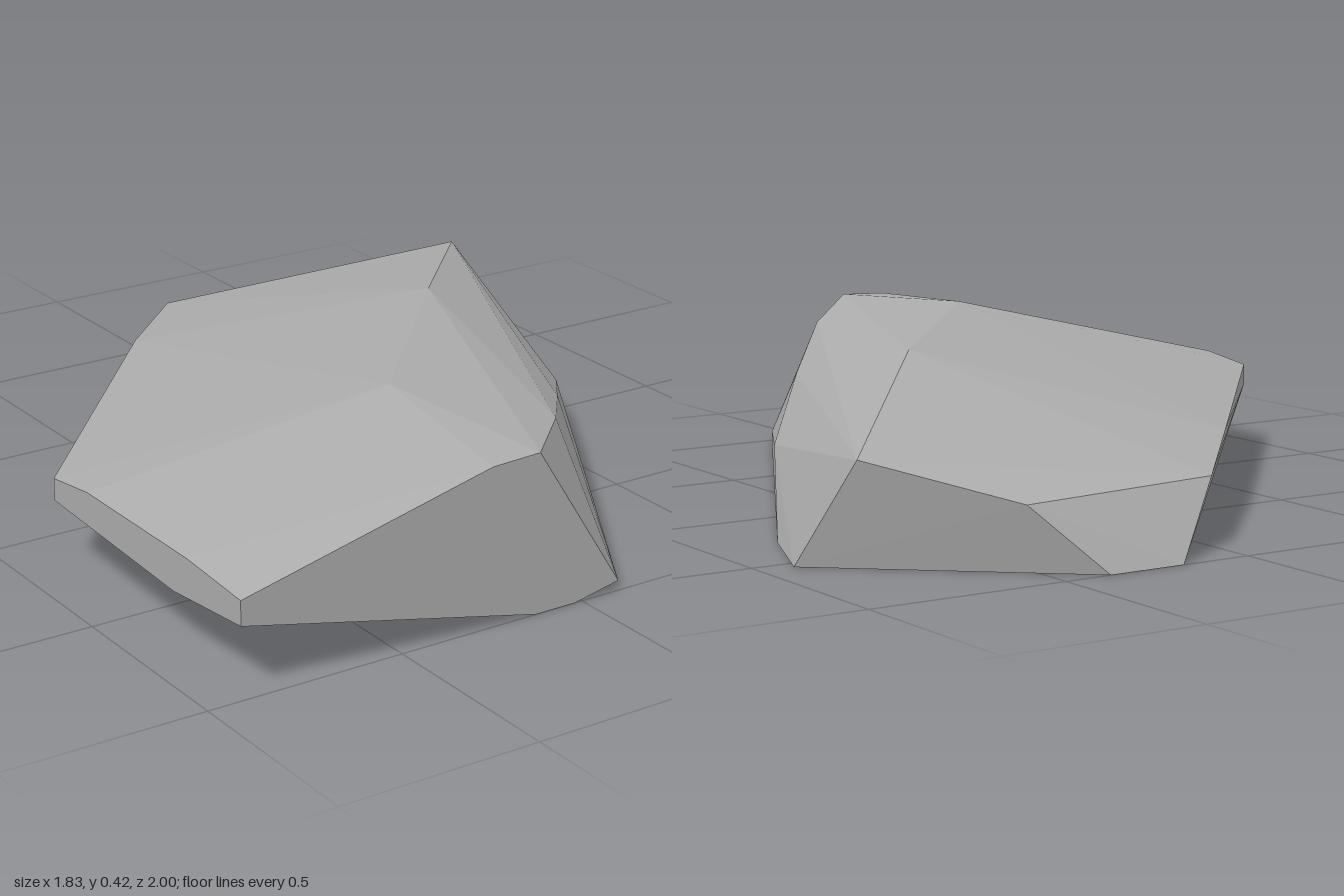
import * as THREE from 'three';
import { ConvexGeometry } from 'three/addons/geometries/ConvexGeometry.js';

const stone = new THREE.MeshStandardMaterial({ color: 0xacacac });
stone.name = 'grey stone';

export function createModel() {
  // Flat footprint on the ground
  const base = [
    [-0.13, 0, 1], [-0.02, 0, 1], [0.15, 0, 0.92], [0.81, 0, -0.28],
    [0.915, 0, -0.54], [0.38, 0, -1], [0.18, 0, -1],
  ];
  // Thin raised left end, cut off upright
  const leftEnd = [
    [-0.915, 0.235, 1], [-0.915, 0.25, 0.78], [-0.915, 0.25, 0.34], [-0.915, 0.23, 0.18],
    [-0.915, 0.175, 0.18], [-0.915, 0.15, 0.72], [-0.915, 0.175, 1],
  ];
  // Ridge and top corners
  const top = [
    [-0.26, 0.39, 1], [-0.13, 0.395, 1], [-0.2, 0.418, 0.51],
    [0.09, 0.355, 0.77], [0.32, 0.39, -0.07], [0.84, 0.255, -0.69],
  ];
  // Chipped corners around the sides
  const sides = [
    [0.105, 0.025, 1], [0.32, 0.27, 0.48], [0.58, 0.15, 0.14],
    [0.545, 0.16, -0.915], [0.02, 0.17, -0.89], [-0.26, 0.21, -0.58],
  ];

  // Faceted slab wrapped around all corners
  const corners = [base, leftEnd, top, sides].flat().map((p) => new THREE.Vector3(...p));
  const slab = new THREE.Mesh(new ConvexGeometry(corners), stone);
  slab.name = 'rockSlab';

  const group = new THREE.Group();
  group.name = 'flatRock';
  group.add(slab);
  return group;
}
